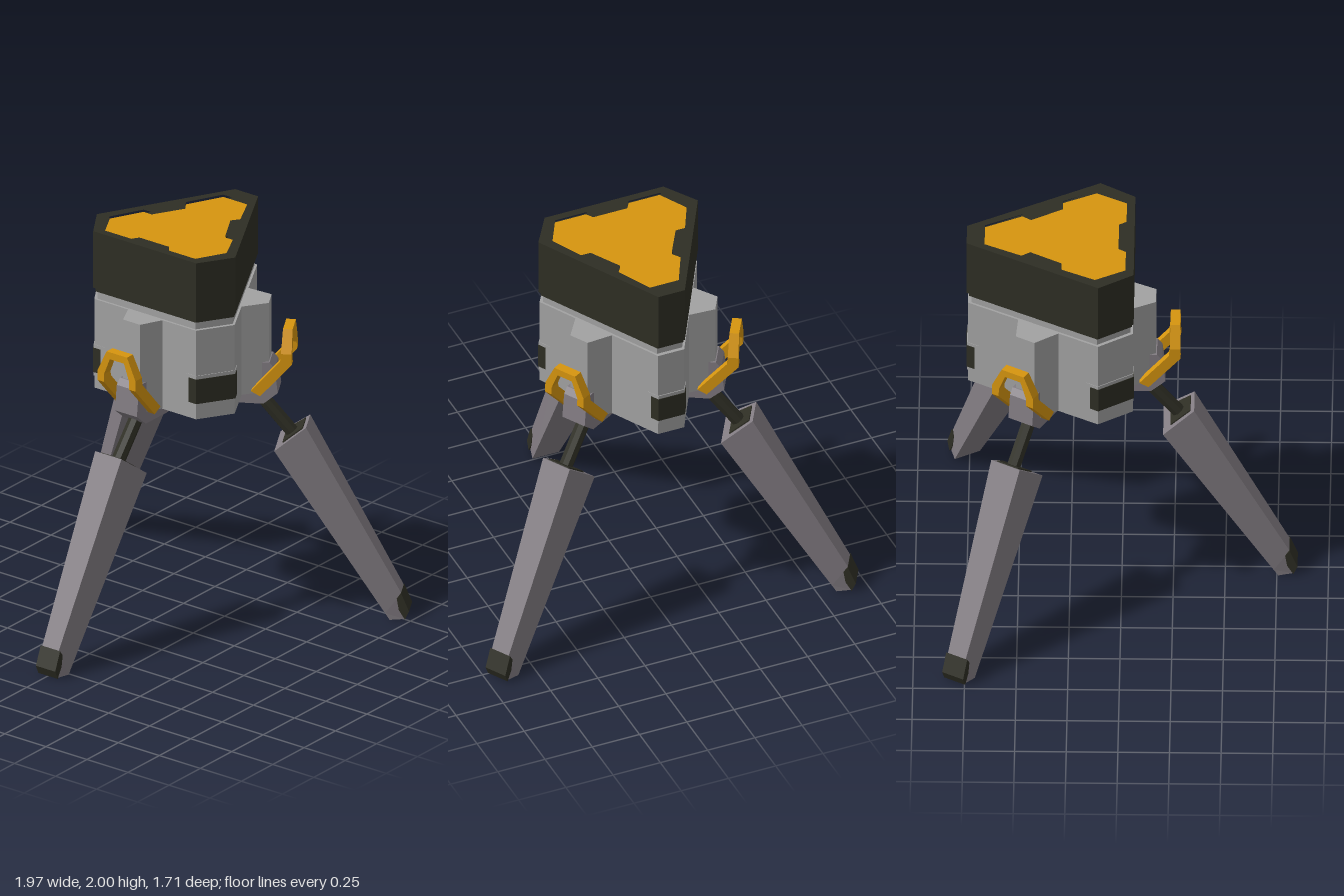
import * as THREE from 'three';

const paint = (name, color) => {
  const m = new THREE.MeshStandardMaterial({ color });
  m.name = name;
  m.flatShading = true;
  return m;
};

// Vertical prism from an outline of [x, z] points
function prism(outline, y0, y1, hole) {
  const toV = (pts) => pts.map(([x, z]) => new THREE.Vector2(x, -z));
  const shape = new THREE.Shape(toV(outline));
  if (hole) shape.holes.push(new THREE.Path(toV(hole)));
  const g = new THREE.ExtrudeGeometry(shape, { depth: y1 - y0, bevelEnabled: false });
  return g.rotateX(-Math.PI / 2).translate(0, y0, 0);
}

// Side profile of [z, y] points, given a width across x
function slab(profile, width) {
  const shape = new THREE.Shape(profile.map(([z, y]) => new THREE.Vector2(z, y)));
  const g = new THREE.ExtrudeGeometry(shape, { depth: width, bevelEnabled: false });
  return g.rotateY(-Math.PI / 2).translate(width / 2, 0, 0);
}

// Closed solid through four-cornered rings of [x, y, z]
function loft(rings) {
  const tris = [];
  const quad = (a, b, c, d) => tris.push([a, b, c], [a, c, d]);
  for (let i = 0; i < rings.length - 1; i++) {
    for (let j = 0; j < 4; j++) {
      const k = (j + 1) % 4;
      quad(rings[i][j], rings[i][k], rings[i + 1][k], rings[i + 1][j]);
    }
  }
  quad(...[...rings[0]].reverse());
  quad(...rings[rings.length - 1]);
  // Turn the faces outward if the enclosed volume comes out negative
  const v = tris.map((t) => t.map((p) => new THREE.Vector3(...p)));
  const volume = v.reduce((s, [a, b, c]) => s + a.dot(b.clone().cross(c)), 0);
  if (volume < 0) v.forEach((t) => t.reverse());
  const g = new THREE.BufferGeometry().setFromPoints(v.flat());
  g.computeVertexNormals();
  return g;
}

const CENTRE = -0.255;
const mirrored = (half) => [...half, ...[...half].reverse().map(([x, z]) => [-x, z])];
const scaled = (pts, s) => pts.map(([x, z]) => [x * s, CENTRE + (z - CENTRE) * s]);

export function createModel() {
  const grey = paint('light grey', 0xa2a2a2);
  const legGrey = paint('warm grey', 0x827c82);
  const dark = paint('dark olive', 0x2e2e24);
  const orange = paint('orange', 0xd6950f);

  const model = new THREE.Group();
  model.name = 'tripodDevice';
  const add = (parent, name, geometry, material) => {
    const mesh = new THREE.Mesh(geometry, material);
    mesh.name = name;
    parent.add(mesh);
    return mesh;
  };

  // Cap with an inset, notched panel
  const outline = mirrored([[0.07, -0.752], [0.422, -0.11], [0.314, 0.06]]);
  const panel = mirrored([
    [0.076, -0.665], [0.166, -0.485], [0.137, -0.443], [0.225, -0.29],
    [0.275, -0.29], [0.356, -0.127], [0.277, 0.02], [0.113, 0.02], [0.09, -0.016],
  ]);
  add(model, 'capBase', prism(outline, 1.7, 1.96), dark);
  add(model, 'capRim', prism(outline, 1.96, 2, panel), dark);
  add(model, 'capPanel', prism(panel, 1.96, 1.988), orange);
  add(model, 'capLip', prism(scaled(outline, 0.975), 1.68, 1.7), dark);

  // Body, neck and underside
  const body = scaled(outline, 0.988);
  add(model, 'neck', prism(scaled(outline, 0.95), 1.64, 1.69), grey);
  add(model, 'body', prism(body, 1.17, 1.64), grey);
  add(model, 'bottomPanel', prism(scaled(panel, 0.95), 1.163, 1.17), orange);

  // Dark windows wrapped round the three blunt corners
  const toward = ([ax, az], [bx, bz], d) => {
    const l = Math.hypot(bx - ax, bz - az);
    return [ax + ((bx - ax) * d) / l, az + ((bz - az) * d) / l];
  };
  for (const i of [1, 3, 5]) {
    const [o, p, q, r] = [0, 1, 2, 3].map((k) => body[(i + k - 1 + 6) % 6]);
    const wrap = (d, s) => scaled([toward(p, o, d), p, q, toward(q, r, d)], s);
    add(model, 'windowFrame', prism(wrap(0.065, 1.008), 1.235, 1.4), grey);
    add(model, 'window', prism(wrap(0.045, 1.014), 1.253, 1.382), dark);
  }

  // Leg cross-section: narrow outer edge, wide inner edge, each [z, y, halfWidth]
  const section = ([oz, oy, ow], [iz, iy, iw]) => [
    [-ow, oy, oz], [ow, oy, oz], [iw, iy, iz], [-iw, iy, iz],
  ];
  // Handle cross-section from outer and inner [x, y, y], front and back z
  const bar = (s, xo, xi, yof, yob, yif, yib, zf, zb) => [
    [s * xo, yof, zf], [s * xo, yob, zb], [s * xi, yib, zb], [s * xi, yif, zf],
  ];
  const handleHalf = (s) => [
    bar(s, 0.115, 0.077, 1.17, 1.195, 1.17, 1.195, 0.13, 0.085),
    bar(s, 0.115, 0.077, 1.345, 1.36, 1.345, 1.36, 0.285, 0.228),
    bar(s, 0.115, 0.077, 1.4, 1.4, 1.385, 1.385, 0.284, 0.232),
    bar(s, 0.062, 0.043, 1.51, 1.51, 1.473, 1.473, 0.282, 0.235),
  ];

  // Three identical legs around the body axis
  for (let i = 0; i < 3; i++) {
    const side = new THREE.Group();
    side.name = ['frontLeg', 'leftBackLeg', 'rightBackLeg'][i];
    side.position.z = CENTRE;
    side.rotation.y = (i * Math.PI * 2) / 3;
    model.add(side);
    const leg = new THREE.Group();
    leg.name = 'legParts';
    leg.position.z = -CENTRE;
    side.add(leg);

    add(leg, 'pillar', prism([[-0.118, 0.03], [0.118, 0.03], [0.052, 0.165], [-0.052, 0.165]], 1.172, 1.64), grey);
    add(leg, 'hingeBracket', slab([
      [-0.1, 1.168], [-0.04, 1.11], [0.14, 1.11], [0.21, 1.17],
      [0.195, 1.3], [0.17, 1.33], [0.08, 1.33], [0.08, 1.168],
    ], 0.134), legGrey);
    add(leg, 'handle', loft([...handleHalf(-1), ...handleHalf(1).reverse()]), orange);

    // Strut between hinge and leg
    const a = new THREE.Vector3(0, 1.17, 0.085);
    const b = new THREE.Vector3(0, 0.91, 0.3);
    const strut = add(leg, 'strut', new THREE.CylinderGeometry(0.035, 0.035, a.distanceTo(b), 8), dark);
    strut.position.copy(a).lerp(b, 0.5);
    strut.quaternion.setFromUnitVectors(new THREE.Vector3(0, 1, 0), a.clone().sub(b).normalize());

    // Tapered leg, dark socket on its top and dark toe
    add(leg, 'leg', loft([
      section([0.35, 1.0, 0.08], [0.2, 0.885, 0.12]),
      section([0.812, 0.135, 0.05], [0.735, 0.035, 0.072]),
      section([0.828, 0, 0.05], [0.757, 0, 0.07]),
    ]), legGrey);
    add(leg, 'socket', loft([
      section([0.33, 0.992, 0.06], [0.235, 0.92, 0.08]),
      section([0.335, 0.98, 0.06], [0.24, 0.908, 0.08]),
    ]), dark);
    add(leg, 'toe', slab([
      [0.811, 0.14], [0.85, 0.045], [0.83, 0], [0.8, 0.05], [0.79, 0.11],
    ], 0.118), dark);
  }
  return model;
}
